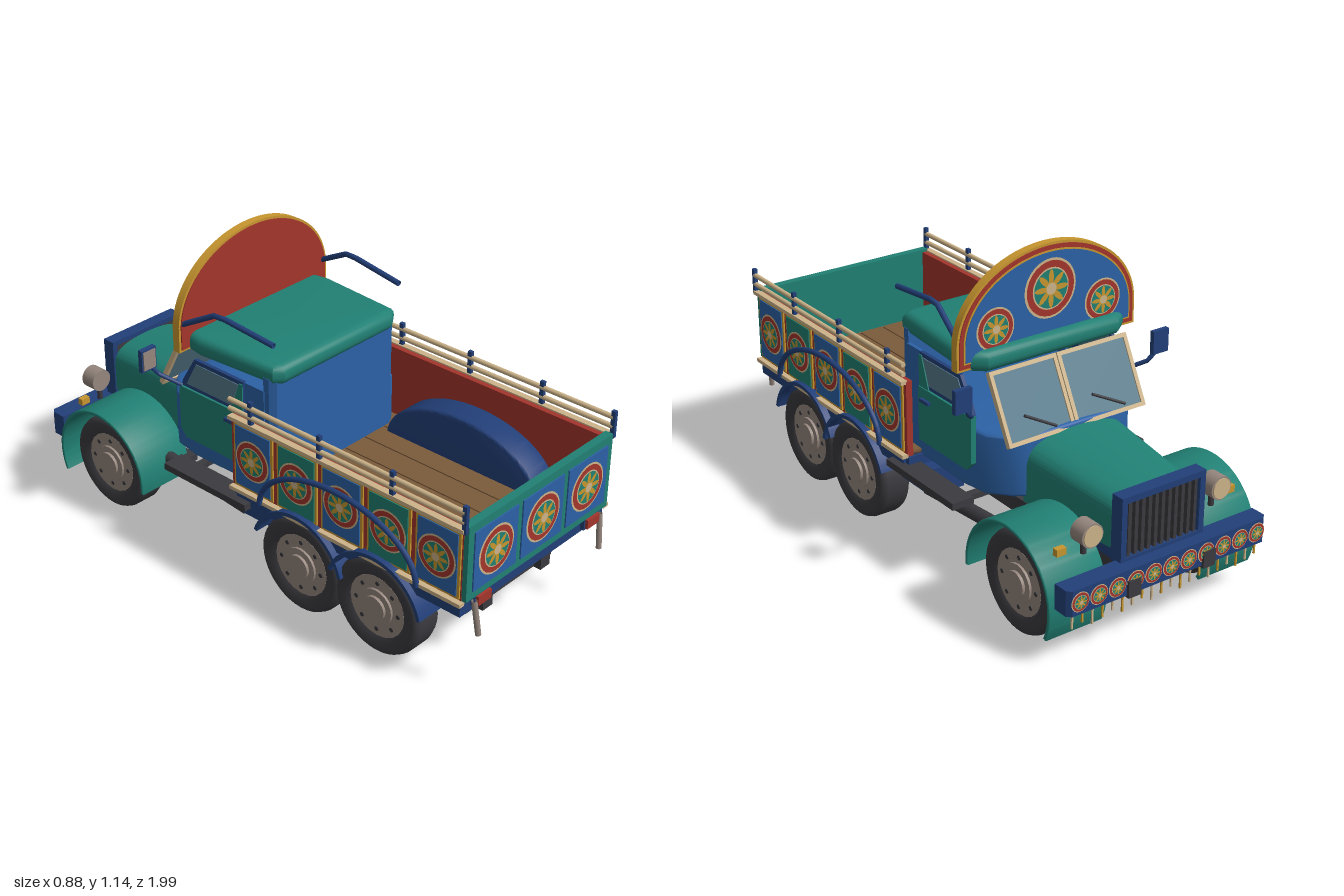
import * as THREE from 'three';
import { mergeGeometries, toCreasedNormals } from 'three/addons/utils/BufferGeometryUtils.js';

const mat = (name, color) => new THREE.MeshStandardMaterial({ name, color, side: THREE.DoubleSide });
const M = {
  blue: mat('panel blue', 0x2c62a6), navy: mat('navy blue', 0x223f78), green: mat('teal green', 0x218074),
  red: mat('brick red', 0xa3352c), gold: mat('gold', 0xc8962f), tan: mat('cream', 0xcdb48a),
  dark: mat('charcoal', 0x3b3a3f), hub: mat('dull silver', 0x95867d), wood: mat('wood brown', 0x7b5a3b),
  glass: mat('glass', 0x587c8e),
};
const V = (x, y, z) => new THREE.Vector3(x, y, z);

export function createModel() {
  const root = new THREE.Group();
  root.name = 'paintedTruck';
  const add = (name, geo, m, x = 0, y = 0, z = 0, parent = root) => {
    const mesh = new THREE.Mesh(geo, m);
    mesh.name = name;
    mesh.position.set(x, y, z);
    parent.add(mesh);
    return mesh;
  };
  const box = (name, m, w, h, d, x, y, z, parent) => add(name, new THREE.BoxGeometry(w, h, d), m, x, y, z, parent);
  const tube = (name, m, pts, r) => {
    const path = new THREE.CurvePath();
    for (let i = 1; i < pts.length; i++) path.add(new THREE.LineCurve3(pts[i - 1], pts[i]));
    return add(name, new THREE.TubeGeometry(path, (pts.length - 1) * 4, r, 8), m);
  };
  const rod = (name, m, r, len, axis, x, y, z, parent) => {
    const g = new THREE.CylinderGeometry(r, r, len, 20);
    if (axis === 'x') g.rotateZ(-Math.PI / 2);
    if (axis === 'z') g.rotateX(Math.PI / 2);
    return add(name, g, m, x, y, z, parent);
  };
  const poly = pts => new THREE.Shape(pts.map(p => new THREE.Vector2(p[0], p[1])));
  const extrude = (shape, depth, bevel = 0) => new THREE.ExtrudeGeometry(shape, {
    depth: depth - 2 * bevel, bevelEnabled: bevel > 0, bevelSize: bevel, bevelThickness: bevel,
    bevelOffset: -bevel, bevelSegments: 4, curveSegments: 32 }).translate(0, 0, bevel);
  // Side profile given as (-z, y), swept along x from x0
  const sidePlate = (name, m, shape, x0, w, bevel) =>
    add(name, toCreasedNormals(extrude(shape, w, bevel).rotateY(Math.PI / 2), 0.6), m, x0);
  // Plan outline given as (x, -z), swept upwards from y0
  const planPlate = (name, m, shape, y0, h, bevel) =>
    add(name, toCreasedNormals(extrude(shape, h, bevel).rotateX(-Math.PI / 2), 0.6), m, 0, y0);
  const arcBand = (cu, cy, ro, ri, a0, a1) => {
    const s = new THREE.Shape();
    s.absarc(cu, cy, ro, a0, a1, false);
    s.absarc(cu, cy, ri, a1, a0, true);
    return s;
  };

  // Painted flower medallion
  const medallion = (r, x, y, z, rotY) => {
    const g = new THREE.Group();
    g.name = 'medallion';
    [[1, M.tan], [0.92, M.red], [0.7, M.tan], [0.65, M.green]].forEach(([k, m], i) =>
      add('medallionRing', new THREE.CircleGeometry(r * k, 28), m, 0, 0, 0.001 + i * 0.0012, g));
    const petals = [];
    for (let i = 0; i < 8; i++) petals.push(new THREE.CircleGeometry(r * 0.24, 10)
      .scale(0.42, 1.2, 1).translate(0, r * 0.36, 0).rotateZ(i * Math.PI / 4));
    add('petals', mergeGeometries(petals), M.gold, 0, 0, 0.0058, g);
    add('flowerCentre', new THREE.CircleGeometry(r * 0.2, 14), M.tan, 0, 0, 0.007, g);
    g.position.set(x, y, z);
    g.rotation.y = rotY;
    root.add(g);
  };

  // Wheels
  const tyreGeo = new THREE.LatheGeometry([[0.112, -0.045], [0.13, -0.058], [0.16, -0.06], [0.174, -0.052], [0.18, -0.036],
    [0.18, 0.036], [0.174, 0.052], [0.16, 0.06], [0.13, 0.058], [0.112, 0.045]].map(p => new THREE.Vector2(...p)), 40).rotateZ(-Math.PI / 2);
  for (const s of [-1, 1]) for (const z of [-0.69, 0.27, 0.61]) {
    const w = new THREE.Group();
    w.name = 'wheel';
    w.position.set(s * 0.33, 0.185, z);
    add('tyre', tyreGeo, M.dark, 0, 0, 0, w);
    rod('rim', M.hub, 0.116, 0.096, 'x', 0, 0, 0, w);
    rod('hubRing', M.hub, 0.068, 0.012, 'x', s * 0.051, 0, 0, w);
    rod('hubCap', M.hub, 0.045, 0.025, 'x', s * 0.055, 0, 0, w);
    for (let i = 0; i < 8; i++) {
      const a = i * Math.PI / 4;
      rod('rimHole', M.dark, 0.008, 0.003, 'x', s * 0.0485, 0.09 * Math.cos(a), 0.09 * Math.sin(a), w);
    }
    root.add(w);
  }

  // Chassis
  for (const s of [-1, 1]) {
    box('frameRail', M.dark, 0.04, 0.06, 1.8, s * 0.13, 0.25, -0.03);
    for (const z of [-0.69, 0.44]) {
      box('leafSpring', M.dark, 0.04, 0.025, 0.5, s * 0.2, 0.225, z);
      tube('shockAbsorber', M.hub, [V(s * 0.22, 0.18, z + 0.1), V(s * 0.18, 0.3, z + 0.1)], 0.018);
    }
    box('towHook', M.dark, 0.05, 0.06, 0.02, s * 0.155, 0.235, -0.985);
    box('rearHitch', M.dark, 0.05, 0.07, 0.04, s * 0.155, 0.235, 0.87);
    box('runningBoard', M.dark, 0.085, 0.025, 0.4, s * 0.365, 0.32, -0.165);
    box('stepPlate', M.hub, 0.06, 0.012, 0.1, s * 0.35, 0.29, -0.2);
    box('boardBracket', M.dark, 0.2, 0.02, 0.03, s * 0.24, 0.3, -0.3);
    box('sideTank', M.navy, 0.14, 0.1, 0.18, s * 0.24, 0.26, 0.0);
    tube('lowerFairing', M.dark, [V(s * 0.3, 0.23, -0.06), V(s * 0.28, 0.25, -0.5)], 0.025);
  }
  box('rearCrossmember', M.dark, 0.46, 0.06, 0.04, 0, 0.23, 0.84);
  for (const z of [-0.8, -0.3, 0.1, 0.44]) box('crossmember', M.dark, 0.26, 0.04, 0.05, 0, 0.25, z);
  for (const z of [-0.69, 0.27, 0.61]) {
    rod('axle', M.dark, 0.025, 0.58, 'x', 0, 0.185, z);
    add('differential', new THREE.SphereGeometry(0.065, 20, 14), M.dark, 0, 0.185, z);
  }
  rod('driveShaft', M.dark, 0.02, 1.3, 'z', 0, 0.2, -0.04);
  box('gearbox', M.dark, 0.13, 0.1, 0.22, 0, 0.25, -0.2);
  box('engineBay', M.navy, 0.3, 0.12, 0.44, 0, 0.31, -0.67);

  // Cargo bed with plank floor
  box('bedBase', M.navy, 0.74, 0.04, 1.0, 0, 0.34, 0.45);
  for (const s of [-1, 1]) box('bedBeam', M.navy, 0.06, 0.05, 0.98, s * 0.35, 0.338, 0.46);
  box('plankGaps', M.dark, 0.72, 0.01, 0.98, 0, 0.362, 0.45);
  for (let i = 0; i < 7; i++) box('floorPlank', M.wood, 0.098, 0.012, 0.98, (i - 3) * 0.103, 0.37, 0.45);
  box('tailgate', M.green, 0.75, 0.28, 0.03, 0, 0.515, 0.953);
  for (const x of [-0.24, 0, 0.24]) {
    box('tailgatePanel', M.blue, 0.215, 0.22, 0.006, x, 0.515, 0.97);
    medallion(0.088, x, 0.515, 0.973, 0);
  }
  for (const s of [-1, 1]) {
    box('bedSide', M.red, 0.024, 0.28, 1.0, s * 0.364, 0.505, 0.45);
    for (const y of [0.367, 0.643]) box('sideTrim', M.tan, 0.024, 0.014, 1.01, s * 0.384, y, 0.455);
    // Framed side panels
    for (let i = 0; i < 5; i++) {
      const z = 0.055 + i * 0.2;
      box('panelBorder', M.gold, 0.006, 0.25, 0.18, s * 0.379, 0.505, z);
      box('sidePanel', i % 2 ? M.green : M.blue, 0.006, 0.23, 0.16, s * 0.383, 0.505, z);
      medallion(0.077, s * 0.386, 0.505, z, s * Math.PI / 2);
    }
    // Hand rails
    for (const y of [0.675, 0.71]) rod('handRail', M.tan, 0.009, 1.01, 'z', s * 0.385, y, 0.455);
    for (const z of [0.96, 0.67, 0.36, 0.05]) box('railPost', M.navy, 0.014, 0.1, 0.016, s * 0.385, 0.685, z);
    // Wheel arch inside the bed and its outer trim
    const arch = new THREE.Shape();
    arch.absellipse(-0.44, 0.36, 0.335, 0.195, 0, Math.PI);
    sidePlate('wheelArch', M.navy, arch, s > 0 ? 0.24 : -0.354, 0.114, 0.012);
    const arc = [];
    for (let i = 0; i <= 28; i++) {
      const a = Math.PI * i / 28;
      arc.push(V(s * 0.396, 0.36 + 0.2 * Math.sin(a), 0.44 + 0.345 * Math.cos(a)));
    }
    tube('archTrim', M.navy, arc, 0.01);
    // Rear mudguards
    for (const z of [0.27, 0.61])
      sidePlate('rearMudguard', M.navy, arcBand(-z, 0.185, 0.208, 0.194, 0.35, Math.PI - 0.25), s > 0 ? 0.275 : -0.405, 0.13);
    box('tailLight', M.red, 0.066, 0.034, 0.02, s * 0.29, 0.357, 0.968);
    box('tailLightFrame', M.navy, 0.08, 0.045, 0.015, s * 0.29, 0.357, 0.96);
    tube('tailStay', M.hub, [V(s * 0.335, 0.365, 0.97), V(s * 0.325, 0.235, 0.985)], 0.01);
  }

  // Cab body, back wall and roof
  planPlate('cabBody', M.blue, poly([[-0.31, -0.07], [0.31, -0.07], [0.318, 0.3], [0.3, 0.4], [0.24, 0.47], [0.2, 0.495],
    [-0.2, 0.495], [-0.24, 0.47], [-0.3, 0.4], [-0.318, 0.3]]), 0.35, 0.22, 0.012);
  planPlate('cabBackWall', M.blue, poly([[-0.29, -0.08], [0.29, -0.08], [0.308, -0.06], [0.308, -0.035], [-0.308, -0.035], [-0.308, -0.06]]), 0.36, 0.43);
  planPlate('roof', M.green, poly([[-0.27, -0.1], [0.27, -0.1], [0.305, -0.075], [0.33, 0.25], [0.315, 0.34], [0.27, 0.375],
    [-0.27, 0.375], [-0.315, 0.34], [-0.33, 0.25], [-0.305, -0.075]]), 0.766, 0.074, 0.03);
  for (const s of [-1, 1]) {
    const side = (name, m, pts, x, w) => sidePlate(name, m, poly(pts), s > 0 ? x : -x - w, w);
    side('quarterPanel', M.blue, [[-0.04, 0.4], [0.05, 0.4], [0.05, 0.74], [-0.04, 0.74]], 0.298, 0.014);
    side('door', M.green, [[0.05, 0.42], [0.33, 0.42], [0.357, 0.45], [0.357, 0.62], [0.05, 0.62]], 0.308, 0.02);
    side('windowFrame', M.navy, [[0.05, 0.61], [0.357, 0.61], [0.345, 0.645], [0.285, 0.743], [0.05, 0.743]], 0.305, 0.014);
    side('doorTop', M.green, [[0.05, 0.735], [0.05, 0.61], [0.11, 0.61], [0.065, 0.735]], 0.32, 0.004);
    side('sideWindow', M.glass, [[0.105, 0.635], [0.325, 0.635], [0.275, 0.728], [0.07, 0.728]], 0.302, 0.02);
    box('doorHandle', M.navy, 0.012, 0.012, 0.05, s * 0.335, 0.58, -0.1);
    // Mirrors
    tube('mirrorArm', M.navy, [V(s * 0.32, 0.62, -0.35), V(s * 0.37, 0.66, -0.41), V(s * 0.4, 0.7, -0.425)], 0.008);
    box('mirrorShell', M.navy, 0.066, 0.084, 0.018, s * 0.408, 0.73, -0.425);
    box('mirrorGlass', M.hub, 0.054, 0.07, 0.004, s * 0.408, 0.73, -0.414);
    // Roof horns
    tube('roofHorn', M.navy, [V(s * 0.347, 0.88, -0.31), V(s * 0.325, 0.96, -0.16), V(s * 0.312, 0.93, 0.09)], 0.01);
    // Split windscreen
    const pane = new THREE.Group();
    pane.name = 'windscreen';
    pane.position.set(s * 0.143, 0.662, -0.437);
    pane.rotation.set(0.48, s * 0.06, 0);
    box('windscreenGlass', M.glass, 0.26, 0.23, 0.008, 0, 0, 0, pane);
    for (const k of [-1, 1]) {
      box('windscreenFrame', M.tan, 0.28, 0.014, 0.018, 0, k * 0.12, 0, pane);
      box('windscreenFrame', M.tan, 0.014, 0.25, 0.018, k * 0.134, 0, 0, pane);
    }
    rod('wiper', M.dark, 0.005, 0.13, 'x', 0, -0.07, -0.018, pane).rotation.z = 0.5;
    root.add(pane);
  }

  // Painted crown board above the cab
  const crown = i => {
    const s = new THREE.Shape();
    s.moveTo(-0.366 + i, 0.778 + i);
    s.lineTo(0.366 - i, 0.778 + i);
    s.lineTo(0.366 - i, 0.86);
    s.absellipse(0, 0.86, 0.366 - i, 0.285 - i, 0, Math.PI);
    return s;
  };
  const board = (name, m, inset, z, d) => add(name, toCreasedNormals(extrude(crown(inset), d), 0.6), m, 0, 0, z);
  board('crownRim', M.gold, 0, -0.335, 0.03);
  board('crownBack', M.red, 0.009, -0.305, 0.004);
  board('crownBorder', M.red, 0.009, -0.338, 0.003);
  board('crownInnerEdge', M.gold, 0.024, -0.34, 0.002);
  board('crownFace', M.blue, 0.03, -0.342, 0.002);
  medallion(0.105, 0, 0.99, -0.342, Math.PI);
  for (const s of [-1, 1]) medallion(0.075, s * 0.22, 0.9, -0.342, Math.PI);

  // Bonnet: an arch widened and raised towards the cab
  const hoodShape = new THREE.Shape();
  hoodShape.moveTo(-0.165, 0.33);
  hoodShape.lineTo(0.165, 0.33);
  hoodShape.lineTo(0.165, 0.43);
  hoodShape.bezierCurveTo(0.165, 0.49, 0.13, 0.51, 0, 0.512);
  hoodShape.bezierCurveTo(-0.13, 0.51, -0.165, 0.49, -0.165, 0.43);
  const hood = extrude(hoodShape, 0.41);
  const p = hood.attributes.position;
  for (let i = 0; i < p.count; i++) {
    const t = p.getZ(i) / 0.41;
    p.setXY(i, p.getX(i) * (1 + 0.24 * t), p.getY(i) + 0.045 * t * (p.getY(i) - 0.33) / 0.18);
  }
  hood.computeVertexNormals();
  add('bonnet', toCreasedNormals(hood, 0.6), M.green, 0, 0, -0.89);

  // Radiator grille
  box('grilleBack', M.dark, 0.3, 0.2, 0.03, 0, 0.41, -0.905);
  for (const s of [-1, 1]) {
    box('grilleFrame', M.navy, 0.022, 0.23, 0.05, s * 0.16, 0.41, -0.915);
    box('grilleFrame', M.navy, 0.342, 0.022, 0.05, 0, 0.41 + s * 0.107, -0.915);
  }
  for (let i = 0; i < 11; i++) box('grilleBar', M.dark, 0.012, 0.195, 0.02, (i - 5) * 0.027, 0.41, -0.925);

  // Front wings, lamps and bumper
  for (const s of [-1, 1]) {
    sidePlate('frontWing', M.green, arcBand(0.69, 0.185, 0.226, 0.212, -0.43, Math.PI + 0.1), s > 0 ? 0.2 : -0.43, 0.23, 0.006);
    rod('headlight', M.hub, 0.042, 0.06, 'z', s * 0.265, 0.42, -0.885);
    rod('headlightLens', M.tan, 0.036, 0.006, 'z', s * 0.265, 0.42, -0.916);
    rod('headlightStem', M.dark, 0.01, 0.06, 'y', s * 0.265, 0.37, -0.87);
    box('indicator', M.gold, 0.036, 0.025, 0.022, s * 0.35, 0.37, -0.86);
    box('bumperArm', M.dark, 0.04, 0.05, 0.14, s * 0.13, 0.26, -0.89);
  }
  planPlate('bumper', M.navy, poly([[-0.41, 0.915], [0.41, 0.915], [0.41, 0.97], [0.395, 0.985], [-0.395, 0.985], [-0.41, 0.97]]), 0.212, 0.09);
  for (let i = 0; i < 11; i++) medallion(0.035, (i - 5) * 0.073, 0.257, -0.985, Math.PI);
  for (let i = 0; i < 20; i++) box('fringe', i % 2 ? M.tan : M.gold, 0.006, 0.04 + 0.02 * (i % 3), 0.006, (i - 9.5) * 0.04, 0.185, -0.965);
  return root;
}
